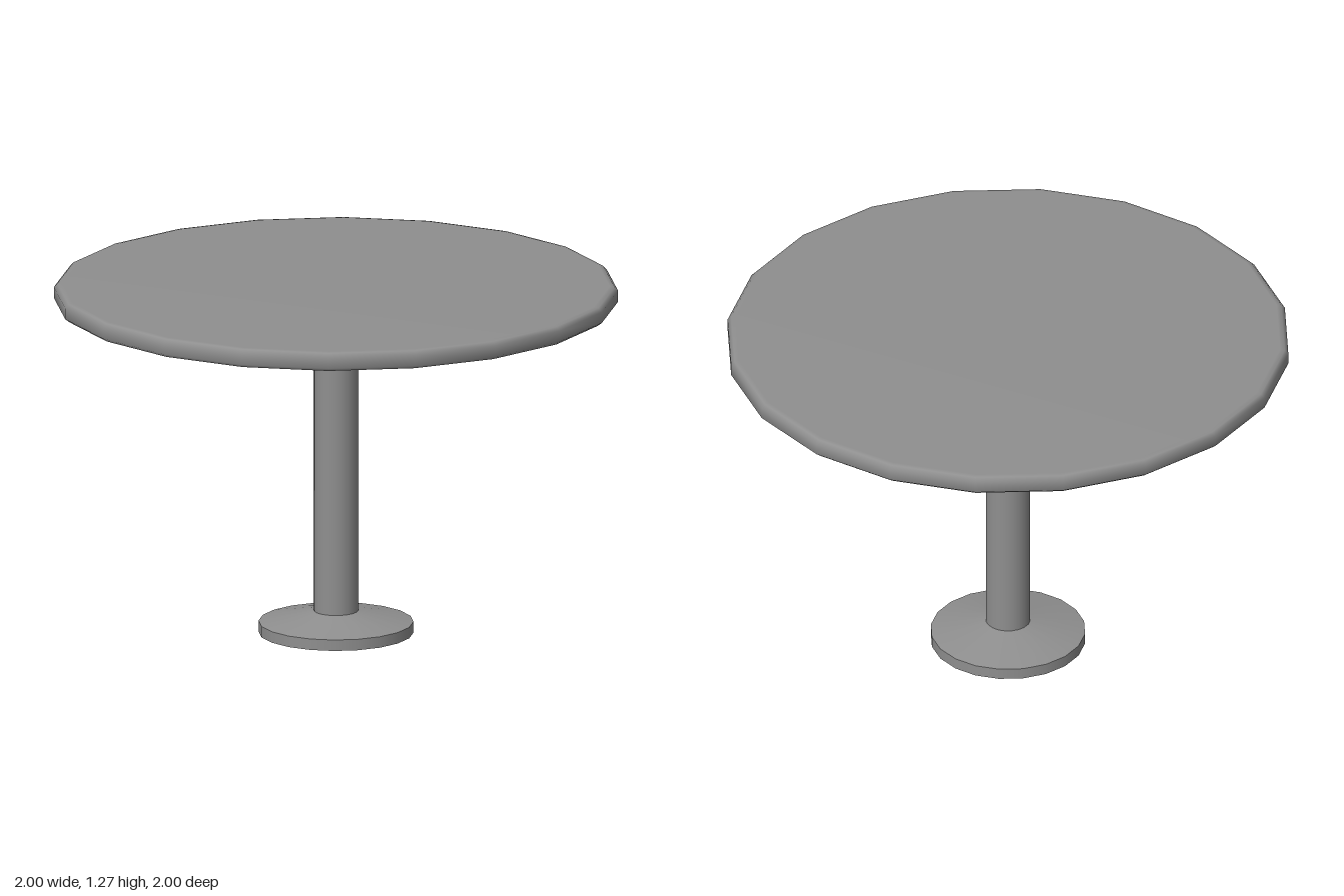
import * as THREE from 'three';

const SIDES = 20;
const GREY = 0x8f8f8f;

// Turned part from a [radius, height] profile listed bottom to top
function turned(name, profile, material) {
  const points = profile.map(([r, y]) => new THREE.Vector2(r, y));
  const mesh = new THREE.Mesh(new THREE.LatheGeometry(points, SIDES), material);
  mesh.name = name;
  return mesh;
}

export function createModel() {
  const solid = new THREE.MeshStandardMaterial({ color: GREY });
  const shell = new THREE.MeshStandardMaterial({ color: GREY, side: THREE.DoubleSide });
  const table = new THREE.Group();
  table.name = 'pedestalTable';

  // Round top with narrow softened rim and slightly dished underside
  table.add(turned('tableTop', [
    [0, 1.19], [0.965, 1.2], [0.985, 1.202], [1, 1.214],
    [1, 1.253], [0.987, 1.267], [0.97, 1.27], [0, 1.27],
  ], solid));

  // Hollow column, open at the foot
  table.add(turned('column', [[0.079, 0.08], [0.079, 1.195]], shell));

  // Hollow foot: upright rim and sloping cover, separate for a crisp edge
  const foot = new THREE.Group();
  foot.name = 'foot';
  foot.add(turned('footRim', [[0.275, 0], [0.275, 0.04]], shell));
  foot.add(turned('footCover', [[0.275, 0.04], [0.079, 0.08]], shell));
  table.add(foot);

  return table;
}
